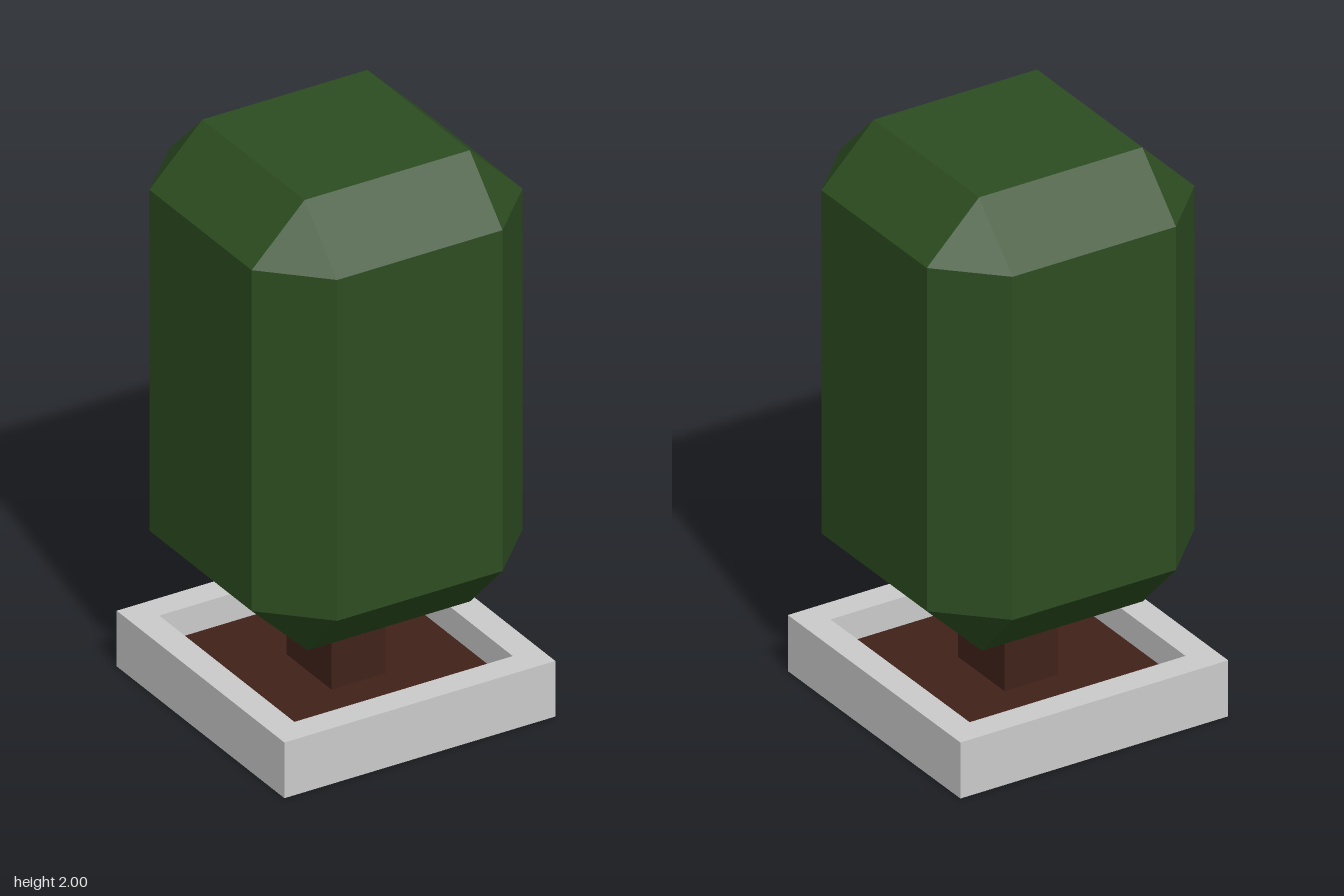
import * as THREE from 'three';
import { ConvexGeometry } from 'three/addons/geometries/ConvexGeometry.js';

const mat = (color) => new THREE.MeshStandardMaterial({ color, flatShading: true });

function addPart(group, name, geometry, material, y = 0) {
  const mesh = new THREE.Mesh(geometry, material);
  mesh.name = name;
  mesh.position.y = y;
  group.add(mesh);
  return mesh;
}

// Chamfered block: small top and bottom faces, cut-corner rings between them
function foliageGeometry() {
  const corners = [
    [0.305, 2, 0.305],
    [0.5, 1.805, 0.305], [0.305, 1.805, 0.5],
    [0.5, 0.58, 0.305], [0.305, 0.58, 0.5],
    [0.3, 0.385, 0.315],
  ];
  const points = [];
  for (const [x, y, z] of corners)
    for (const sx of [-1, 1])
      for (const sz of [-1, 1]) points.push(new THREE.Vector3(x * sx, y, z * sz));
  return new ConvexGeometry(points);
}

// Square open box with thick walls, turned from half its cross-section in four segments
function planterGeometry() {
  const profile = [[0, 0], [0.5, 0], [0.5, 0.2], [0.403, 0.2], [0.403, 0.1]]
    .map(([half, y]) => new THREE.Vector2(half * Math.SQRT2, y));
  return new THREE.LatheGeometry(profile, 4, Math.PI / 4).toNonIndexed();
}

export function createModel() {
  const tree = new THREE.Group();
  tree.name = 'pottedTree';
  const brown = mat(0x402219);

  addPart(tree, 'planter', planterGeometry(), mat(0xcccccc));
  addPart(tree, 'soil', new THREE.PlaneGeometry(0.806, 0.806).rotateX(-Math.PI / 2), brown, 0.1);
  addPart(tree, 'trunk', new THREE.BoxGeometry(0.2, 0.3, 0.27), brown, 0.25);
  addPart(tree, 'foliage', foliageGeometry(), mat(0x2d4d21));
  return tree;
}
